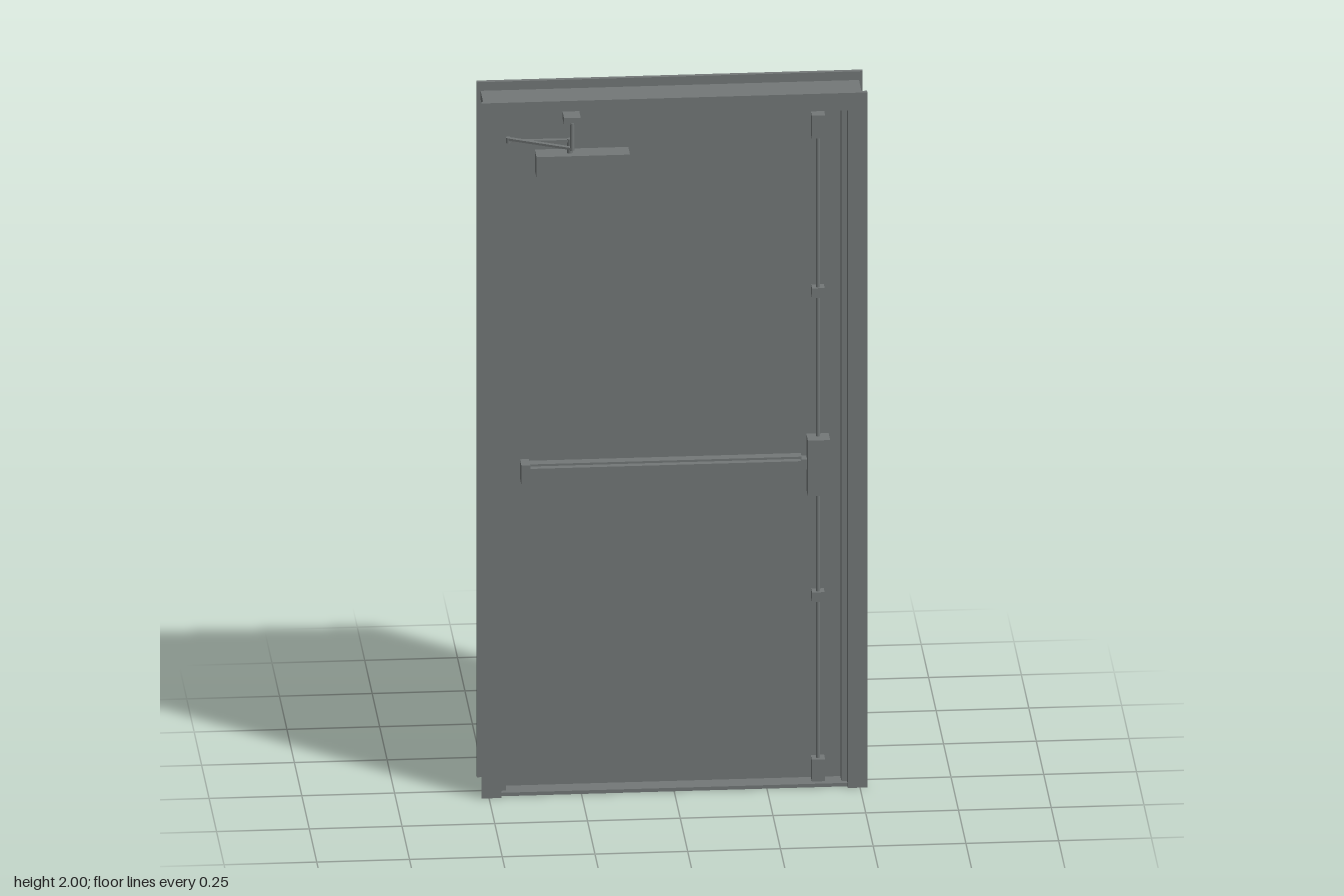
import * as THREE from 'three';

export function createModel() {
  const model = new THREE.Group();
  model.name = 'exitDoor';
  const steel = new THREE.MeshStandardMaterial({ color: 0x737878 });
  steel.name = 'grey steel';

  // Box given by its lower and upper limits on each axis
  function box(name, [x0, x1], [y0, y1], [z0, z1], parent = model) {
    const mesh = new THREE.Mesh(new THREE.BoxGeometry(x1 - x0, y1 - y0, z1 - z0), steel);
    mesh.position.set((x0 + x1) / 2, (y0 + y1) / 2, (z0 + z1) / 2);
    mesh.name = name;
    parent.add(mesh);
    return mesh;
  }
  function rod(name, radius, x, [y0, y1], z, parent = model) {
    const mesh = new THREE.Mesh(new THREE.CylinderGeometry(radius, radius, y1 - y0, 16), steel);
    mesh.position.set(x, (y0 + y1) / 2, z);
    mesh.name = name;
    parent.add(mesh);
  }

  // Face trims: upside-down U plates on front and back
  const trim = new THREE.Shape();
  [[-0.52, 0], [-0.52, 2], [0.52, 2], [0.52, 0], [0.467, 0], [0.467, 1.95], [-0.467, 1.95], [-0.467, 0]]
    .forEach(([x, y], i) => (i ? trim.lineTo(x, y) : trim.moveTo(x, y)));
  const trimGeometry = new THREE.ExtrudeGeometry(trim, { depth: 0.013, bevelEnabled: false });
  for (const [name, z] of [['frontTrim', 0.047], ['backTrim', -0.113]]) {
    const mesh = new THREE.Mesh(trimGeometry, steel);
    mesh.position.z = z;
    mesh.name = name;
    model.add(mesh);
  }

  // Jambs, head, door stops and threshold
  const depth = [-0.1, 0.047];
  for (const s of [-1, 1]) {
    const span = (a, b) => (s > 0 ? [a, b] : [-b, -a]);
    box('jamb', span(0.467, 0.488), [0, 1.95], depth);
    box('sideStop', span(0.452, 0.467), [0, 1.95], [0, 0.032]);
  }
  box('head', [-0.51, 0.51], [1.95, 1.975], depth);
  box('headStop', [-0.452, 0.452], [1.943, 1.95], [0, 0.032]);
  box('threshold', [-0.467, 0.467], [0, 0.01], [-0.1, 0.047]);

  // Door leaf with three hinges on the back
  box('doorLeaf', [-0.464, 0.464], [0.012, 1.947], [-0.04, 0]);
  for (const y of [0.22, 0.98, 1.73]) {
    rod('hingeKnuckle', 0.007, -0.46, [y - 0.04, y + 0.04], -0.045);
    box('hingeLeaf', [-0.467, -0.462], [y - 0.04, y + 0.04], [-0.07, -0.04]);
  }

  // Push bar
  const bar = new THREE.Group();
  bar.name = 'pushBar';
  model.add(bar);
  box('barRail', [-0.388, 0.345], [0.9, 0.945], [0, 0.028], bar);
  box('pushPad', [-0.388, 0.342], [0.906, 0.939], [0.028, 0.046], bar);
  box('barEndCap', [-0.412, -0.388], [0.895, 0.95], [0, 0.048], bar);
  box('barConnector', [0.342, 0.36], [0.908, 0.937], [0, 0.03], bar);
  box('latchCase', [0.36, 0.42], [0.84, 1.0], [0, 0.053], bar);

  // Vertical rods with guides and end latches
  rod('lowerRod', 0.006, 0.39, [0.07, 0.84], 0.018);
  rod('upperRod', 0.006, 0.39, [1.0, 1.865], 0.018);
  for (const y of [0.54, 1.415]) box('rodGuide', [0.373, 0.407], [y - 0.014, y + 0.014], [0, 0.03]);
  box('bottomLatch', [0.372, 0.408], [0.012, 0.075], [0, 0.035]);
  box('topLatch', [0.372, 0.408], [1.862, 1.928], [0, 0.035]);

  // Door closer: body, bracket and folding arms
  const closer = new THREE.Group();
  closer.name = 'doorCloser';
  model.add(closer);
  box('closerBody', [-0.372, -0.12], [1.78, 1.84], [0, 0.058], closer);
  box('closerBracket', [-0.302, -0.257], [1.95, 1.97], [0.06, 0.11], closer);
  rod('bracketPin', 0.006, -0.28, [1.876, 1.955], 0.106, closer);
  rod('closerSpindle', 0.008, -0.28, [1.84, 1.88], 0.03, closer);
  function arm(name, x0, z0, x1, z1, y) {
    const length = Math.hypot(x1 - x0, z1 - z0);
    const mesh = box(name, [-length / 2, length / 2], [y - 0.003, y + 0.003], [-0.006, 0.006], closer);
    mesh.position.set((x0 + x1) / 2, y, (z0 + z1) / 2);
    mesh.rotation.y = -Math.atan2(z1 - z0, x1 - x0);
  }
  arm('outerArm', -0.445, 0.02, -0.28, 0.106, 1.881);
  arm('innerArm', -0.445, 0.02, -0.28, 0.03, 1.875);
  rod('armElbow', 0.007, -0.445, [1.87, 1.885], 0.02, closer);

  return model;
}
